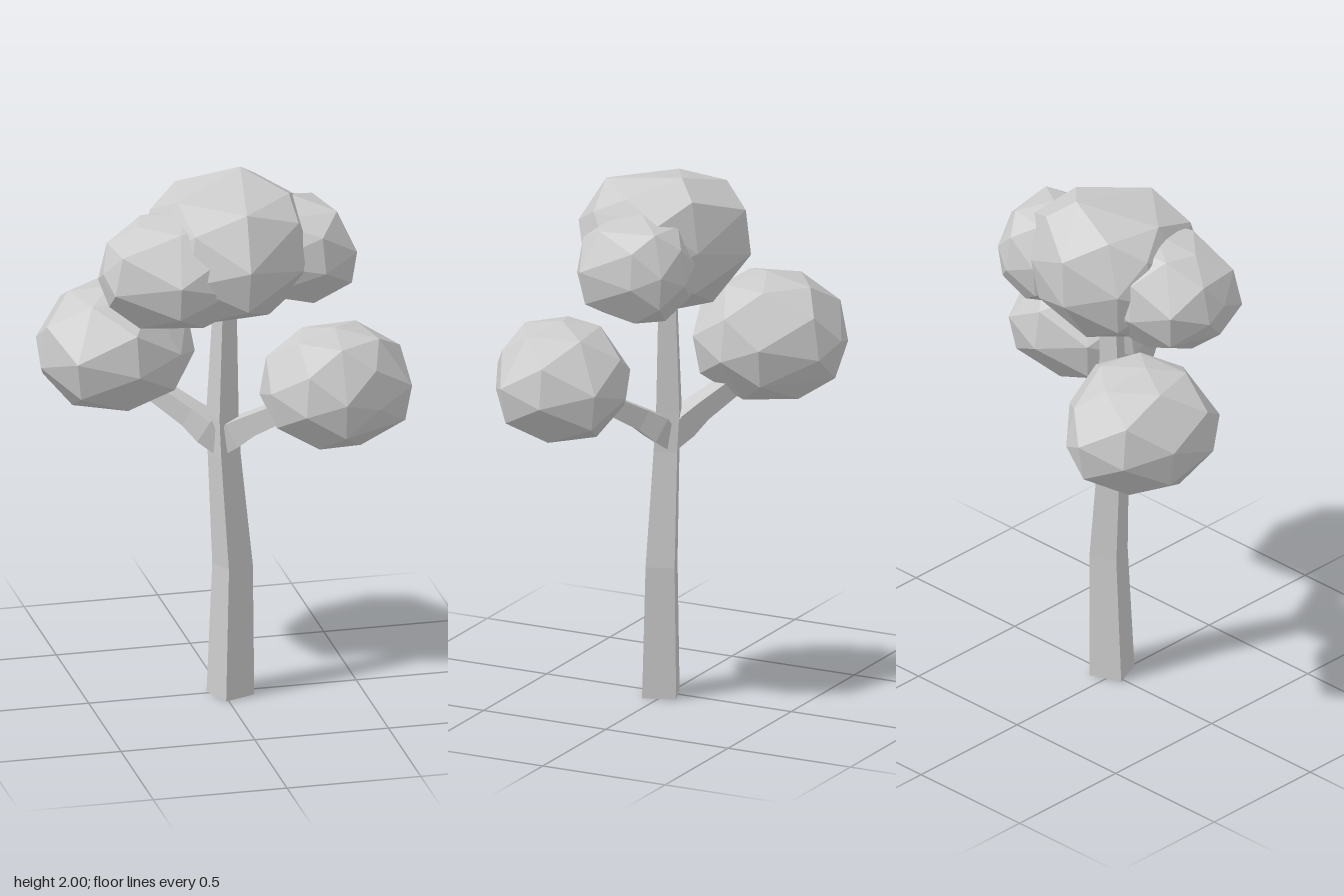
import * as THREE from 'three';
import { ConvexGeometry } from 'three/addons/geometries/ConvexGeometry.js';

const grey = new THREE.MeshStandardMaterial({ color: 0xcccccc });
grey.name = 'pale grey';

// Four-sided limb: path points [x, y, z, radius] listed from tip to base
function limb(name, path, axis, theta) {
  const rows = path.length - 1;
  const geo = new THREE.CylinderGeometry(1, 1, 1, 4, rows, false, theta);
  const q = new THREE.Quaternion().setFromUnitVectors(new THREE.Vector3(0, 1, 0), axis.normalize());
  const pos = geo.attributes.position;
  const v = new THREE.Vector3();
  for (let i = 0; i < pos.count; i++) {
    const [x, y, z, r] = path[Math.round((0.5 - pos.getY(i)) * rows)];
    v.set(pos.getX(i) * r, 0, pos.getZ(i) * r).applyQuaternion(q);
    pos.setXYZ(i, v.x + x, v.y + y, v.z + z);
  }
  const flat = geo.toNonIndexed();
  flat.computeVertexNormals();
  const mesh = new THREE.Mesh(flat, grey);
  mesh.name = name;
  return mesh;
}

// Faceted leaf clump: plan outline [x, z], bottom height, peak [x, y, z],
// and the [scale, level] of the ring below the peak
function clump(name, outline, bottom, peak, crest = [0.57, 0.86]) {
  const n = outline.length;
  const cx = outline.reduce((s, p) => s + p[0], 0) / n;
  const cz = outline.reduce((s, p) => s + p[1], 0) / n;
  const mid = (bottom + peak[1]) / 2;
  const h = (peak[1] - bottom) / 2;
  const points = [new THREE.Vector3(...peak), new THREE.Vector3(cx, bottom, cz)];
  const add = ([x, z], scale, level) => {
    // upper rings lean towards the peak
    const lean = Math.max(0, level) * 0.3;
    const ox = cx + (peak[0] - cx) * lean, oz = cz + (peak[2] - cz) * lean;
    points.push(new THREE.Vector3(ox + (x - cx) * scale, mid + h * level, oz + (z - cz) * scale));
  };
  outline.forEach((p, i) => {
    const odd = i % 2 === 1;
    add(p, 1, odd ? 0.05 : -0.18);
    if (odd) {
      add(p, 0.91, -0.58);
      add(p, ...crest);
    } else {
      add(p, 0.91, 0.5);
      add(p, 0.56, -0.94);
    }
  });
  const mesh = new THREE.Mesh(new ConvexGeometry(points), grey);
  mesh.name = name;
  return mesh;
}

export function createModel() {
  const tree = new THREE.Group();
  tree.name = 'tree';

  // Bent trunk continuing as the central stem
  tree.add(limb('trunk', [
    [0.01, 1.56, 0, 0.042],
    [0, 1.08, 0, 0.06],
    [0.005, 0.93, 0.007, 0.061],
    [0.035, 0.5, 0.012, 0.075],
    [0.025, 0, 0.02, 0.088],
  ], new THREE.Vector3(0, 1, 0), 1.16));

  // Two side branches, mirrored through the trunk and flared near it
  for (const s of [1, -1]) {
    tree.add(limb(s > 0 ? 'leftBranch' : 'rightBranch', [
      [0.27 * s, 1.18, 0.19 * s, 0.045],
      [0.1 * s, 1.065, 0.07 * s, 0.056],
      [0.045 * s, 1.02, 0.03 * s, 0.068],
      [0, 0.965, 0, 0.05],
    ], new THREE.Vector3(0.27 * s, 0.2, 0.19 * s), Math.atan2(0.27, 0.19) + Math.PI / 4));
  }

  // Low clumps on the branches
  tree.add(clump('leftFoliage', [
    [0.64, 0.2], [0.62, 0.37], [0.48, 0.46], [0.34, 0.525], [0.2, 0.48], [0.1, 0.34],
    [0.09, 0.2], [0.19, 0.06], [0.38, -0.02], [0.55, 0.02],
  ], 1.05, [0.36, 1.48, 0.25]));
  tree.add(clump('rightFoliage', [
    [-0.645, -0.14], [-0.62, -0.32], [-0.51, -0.47], [-0.34, -0.53], [-0.24, -0.49],
    [-0.09, -0.32], [-0.06, -0.18], [-0.15, -0.02], [-0.32, 0.05], [-0.54, 0],
  ], 1.08, [-0.37, 1.535, -0.21]));

  // Crown made of three deeply overlapping clumps
  tree.add(clump('crownCentre', [
    [-0.29, -0.07], [-0.22, -0.2], [-0.05, -0.31], [0.2, -0.22], [0.31, -0.1],
    [0.3, 0.1], [0.25, 0.22], [0.02, 0.36], [-0.19, 0.28], [-0.28, 0.1],
  ], 1.49, [0.09, 2, -0.1], [0.72, 0.76]));
  tree.add(clump('crownRight', [
    [-0.47, 0.02], [-0.4, -0.11], [-0.25, -0.17], [0, -0.15], [0.12, 0],
    [0.1, 0.2], [-0.05, 0.3], [-0.23, 0.32], [-0.45, 0.21], [-0.47, 0.1],
  ], 1.49, [-0.15, 1.9, 0.06], [0.55, 0.86]));
  tree.add(clump('crownLeft', [
    [0.02, -0.05], [0.2, -0.21], [0.32, -0.23], [0.41, -0.18], [0.46, -0.08],
    [0.475, 0.12], [0.34, 0.2], [0.1, 0.18],
  ], 1.51, [0.27, 1.9, -0.03], [0.68, 0.8]));

  return tree;
}
